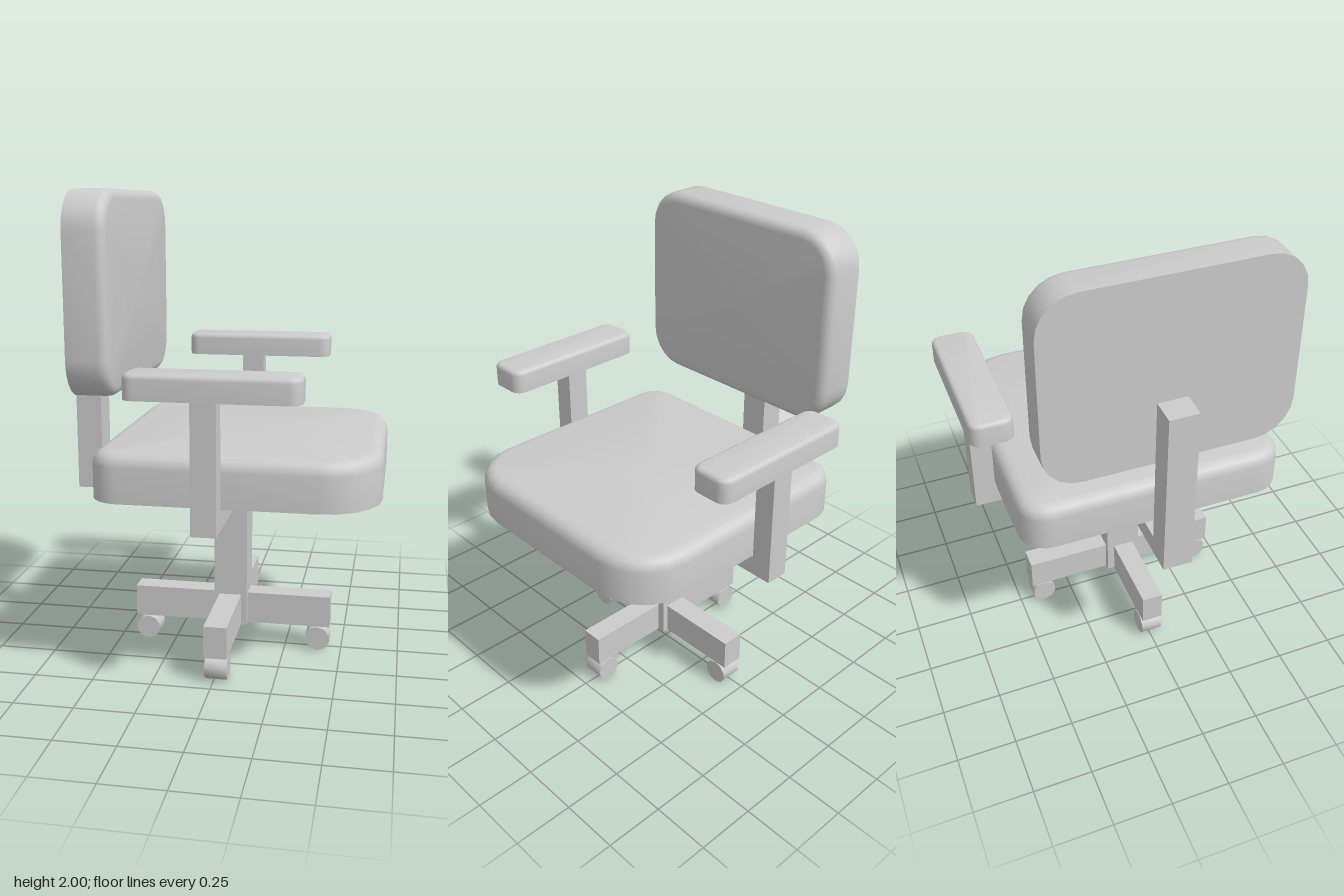
import * as THREE from 'three';
import { toCreasedNormals } from 'three/addons/utils/BufferGeometryUtils.js';

const material = new THREE.MeshStandardMaterial({ color: 0xcccccc, side: THREE.DoubleSide });

// Counter-clockwise rounded rectangle, one radius per corner, shrunk by inset
function outline(w, h, radii, inset, z) {
  const signs = [[1, 1], [-1, 1], [-1, -1], [1, -1]];
  const steps = 5, pts = [];
  signs.forEach(([sx, sy], c) => {
    const r = radii[c];
    const cx = sx * (w / 2 - r), cy = sy * (h / 2 - r);
    for (let i = 0; i <= steps; i++) {
      const a = (c + i / steps) * Math.PI / 2;
      pts.push([cx + (r - inset) * Math.cos(a), cy + (r - inset) * Math.sin(a), z]);
    }
  });
  return pts;
}

// Pad with a flat underside and a rounded upper rim, standing on z = 0
function padGeometry(w, h, depth, radii, bevel) {
  const rings = [outline(w, h, radii, 0, 0)];
  const rimSteps = 4;
  for (let i = 0; i <= rimSteps; i++) {
    const a = i / rimSteps * Math.PI / 2;
    rings.push(outline(w, h, radii, bevel * (1 - Math.cos(a)), depth - bevel * (1 - Math.sin(a))));
  }
  const n = rings[0].length, pos = [];
  const tri = (a, b, c) => pos.push(...a, ...b, ...c);
  for (let i = 0; i < n; i++) {
    const j = (i + 1) % n;
    for (let k = 0; k < rings.length - 1; k++) {
      const lo = rings[k], hi = rings[k + 1];
      tri(lo[i], lo[j], hi[j]);
      tri(lo[i], hi[j], hi[i]);
    }
    const top = rings[rings.length - 1];
    tri([0, 0, depth], top[i], top[j]);
    tri([0, 0, 0], rings[0][j], rings[0][i]);
  }
  const g = new THREE.BufferGeometry();
  g.setAttribute('position', new THREE.Float32BufferAttribute(pos, 3));
  return toCreasedNormals(g, 0.6);
}

export function createModel() {
  const chair = new THREE.Group();
  chair.name = 'officeChair';

  const add = (name, geometry, x, y, z) => {
    const mesh = new THREE.Mesh(geometry, material);
    mesh.name = name;
    mesh.position.set(x, y, z);
    chair.add(mesh);
  };
  // Box given by its limits on each axis
  const bar = (name, [x0, x1], [y0, y1], [z0, z1]) =>
    add(name, new THREE.BoxGeometry(x1 - x0, y1 - y0, z1 - z0),
      (x0 + x1) / 2, (y0 + y1) / 2, (z0 + z1) / 2);

  // Cushions: the chair looks along +x
  add('seat', padGeometry(1.15, 1.15, 0.2, [0.24, 0.12, 0.12, 0.24], 0.055).rotateX(-Math.PI / 2),
    0.095, 0.79, 0);
  add('backrest', padGeometry(1.03, 0.82, 0.17, [0.16, 0.16, 0.16, 0.16], 0.04).rotateY(Math.PI / 2),
    -0.567, 1.59, -0.002);

  // Backrest support
  bar('backPost', [-0.678, -0.567], [0.705, 1.467], [-0.065, 0.06]);
  bar('backBeam', [-0.567, -0.06], [0.705, 0.79], [-0.065, 0.06]);

  // Armrests
  bar('armCrossbar', [-0.04, 0.06], [0.705, 0.79], [-0.58, 0.58]);
  for (const [side, s] of [['left', -1], ['right', 1]]) {
    bar(side + 'ArmPost', [-0.04, 0.06], [0.705, 1.23], s < 0 ? [-0.67, -0.58] : [0.58, 0.67]);
    add(side + 'ArmPad',
      padGeometry(0.675, 0.18, 0.1, [0.045, 0.045, 0.045, 0.045], 0.02).rotateX(-Math.PI / 2),
      0.043, 1.23, s * 0.621);
  }

  // Column and cross-shaped foot
  bar('column', [-0.06, 0.085], [0.11, 0.79], [-0.075, 0.08]);
  bar('footBarLengthwise', [-0.425, 0.45], [0.111, 0.25], [-0.042, 0.05]);
  bar('footBarSideways', [-0.037, 0.06], [0.111, 0.249], [-0.447, 0.451]);

  // Casters under the four foot ends
  const wheel = new THREE.CylinderGeometry(0.054, 0.054, 0.094, 10);
  wheel.rotateX(Math.PI / 2);
  const round = toCreasedNormals(wheel, 0.8);
  const turned = round.clone().rotateY(Math.PI / 2);
  for (const x of [-0.372, 0.397]) add('caster', round, x, 0.054, 0.004);
  for (const z of [-0.39, 0.395]) add('caster', turned, 0.012, 0.054, z);

  return chair;
}
